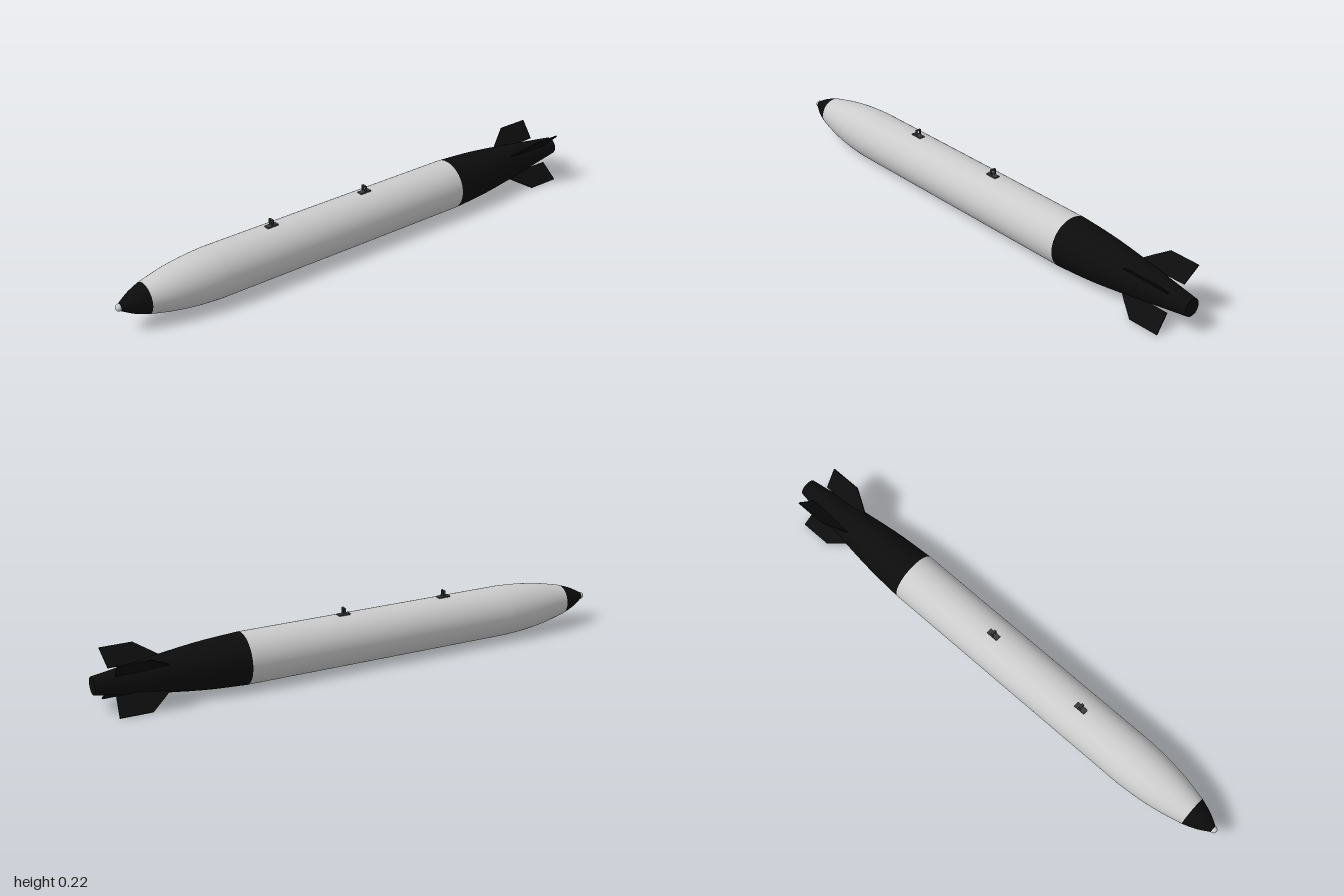
import * as THREE from 'three';

const AXIS_Y = 0.0965;
const R = 0.0955;
const grey = new THREE.MeshStandardMaterial({ color: 0xcccccc });
const black = new THREE.MeshStandardMaterial({ color: 0x0c0c0c });
const dark = new THREE.MeshStandardMaterial({ color: 0x3a3a3a });

// Turned section along z; profile is [z, radius] from back to front
function turned(name, profile, material) {
  const points = profile.map(([z, r]) => new THREE.Vector2(r, z));
  const geometry = new THREE.LatheGeometry(points, 64).rotateX(Math.PI / 2);
  const mesh = new THREE.Mesh(geometry, material);
  mesh.name = name;
  return mesh;
}

// Samples a smooth curve through a few [z, radius] points
function smooth(points, count = 14) {
  const curve = new THREE.SplineCurve(points.map(([z, r]) => new THREE.Vector2(z, r)));
  return curve.getPoints(count).map((p) => [p.x, p.y]);
}

// Thin swept plate, drawn as (radius, z) and laid in the radial plane
function createFin() {
  const outline = [[0.052, -0.72], [0.09, -0.765], [0.134, -0.82], [0.134, -0.94], [0.054, -0.93]];
  const shape = new THREE.Shape(outline.map(([r, z]) => new THREE.Vector2(r, z)));
  const geometry = new THREE.ExtrudeGeometry(shape, { depth: 0.005, bevelEnabled: false });
  geometry.translate(0, 0, -0.0025).rotateX(Math.PI / 2);
  const fin = new THREE.Mesh(geometry, black);
  fin.name = 'tailFin';
  return fin;
}

// Suspension lug: base plate with an open rectangular loop
function createLug() {
  const lug = new THREE.Group();
  lug.name = 'suspensionLug';
  const plate = new THREE.Mesh(new THREE.BoxGeometry(0.021, 0.006, 0.046), dark);
  plate.name = 'lugBase';
  plate.position.y = 0.001;
  const frame = new THREE.Shape();
  frame.moveTo(-0.0105, 0).lineTo(0.0105, 0).lineTo(0.0105, 0.026).lineTo(-0.0105, 0.026).closePath();
  const hole = new THREE.Path();
  hole.moveTo(-0.0065, 0.004).lineTo(-0.0065, 0.022).lineTo(0.0065, 0.022).lineTo(0.0065, 0.004).closePath();
  frame.holes.push(hole);
  const geometry = new THREE.ExtrudeGeometry(frame, { depth: 0.008, bevelEnabled: false });
  const loop = new THREE.Mesh(geometry.translate(0, 0, -0.004), dark);
  loop.name = 'lugLoop';
  lug.add(plate, loop);
  return lug;
}

export function createModel() {
  const model = new THREE.Group();
  model.name = 'finnedStore';
  const body = new THREE.Group();
  body.name = 'body';
  body.position.set(-0.001, AXIS_Y, 0);
  model.add(body);

  // Casing sections
  body.add(
    turned('rearCasing', [[-0.45, R], [0, R]], grey),
    turned('middleCasing', [[0, R], [0.62, R]], grey),
    turned('frontOgive', smooth([[0.62, R], [0.71, 0.0895], [0.8, 0.077], [0.89, 0.057]]), grey),
    turned('noseCone', smooth([[0.89, 0.057], [0.94, 0.038], [0.985, 0.013]]), black),
  );

  // Rounded fuze tip
  const tip = new THREE.Mesh(new THREE.SphereGeometry(0.0135, 24, 16), grey);
  tip.name = 'noseTip';
  tip.position.z = 0.9865;
  body.add(tip);

  // Tapered tail with a flat end
  const tail = smooth([[-1, 0.033], [-0.88, 0.05], [-0.76, 0.067], [-0.6, 0.086], [-0.45, R]]);
  body.add(turned('tailCone', tail, black));
  const cap = new THREE.Mesh(new THREE.CircleGeometry(0.033, 64), black);
  cap.name = 'tailCap';
  cap.position.z = -1;
  cap.rotation.y = Math.PI;
  body.add(cap);

  // Four fins in an X
  for (let i = 0; i < 4; i++) {
    const fin = createFin();
    fin.rotation.z = Math.PI / 4 + (i * Math.PI) / 2;
    body.add(fin);
  }

  // Two lugs along the top
  for (const z of [0.365, -0.05]) {
    const lug = createLug();
    lug.position.set(0, R + 0.0005, z);
    body.add(lug);
  }
  return model;
}
